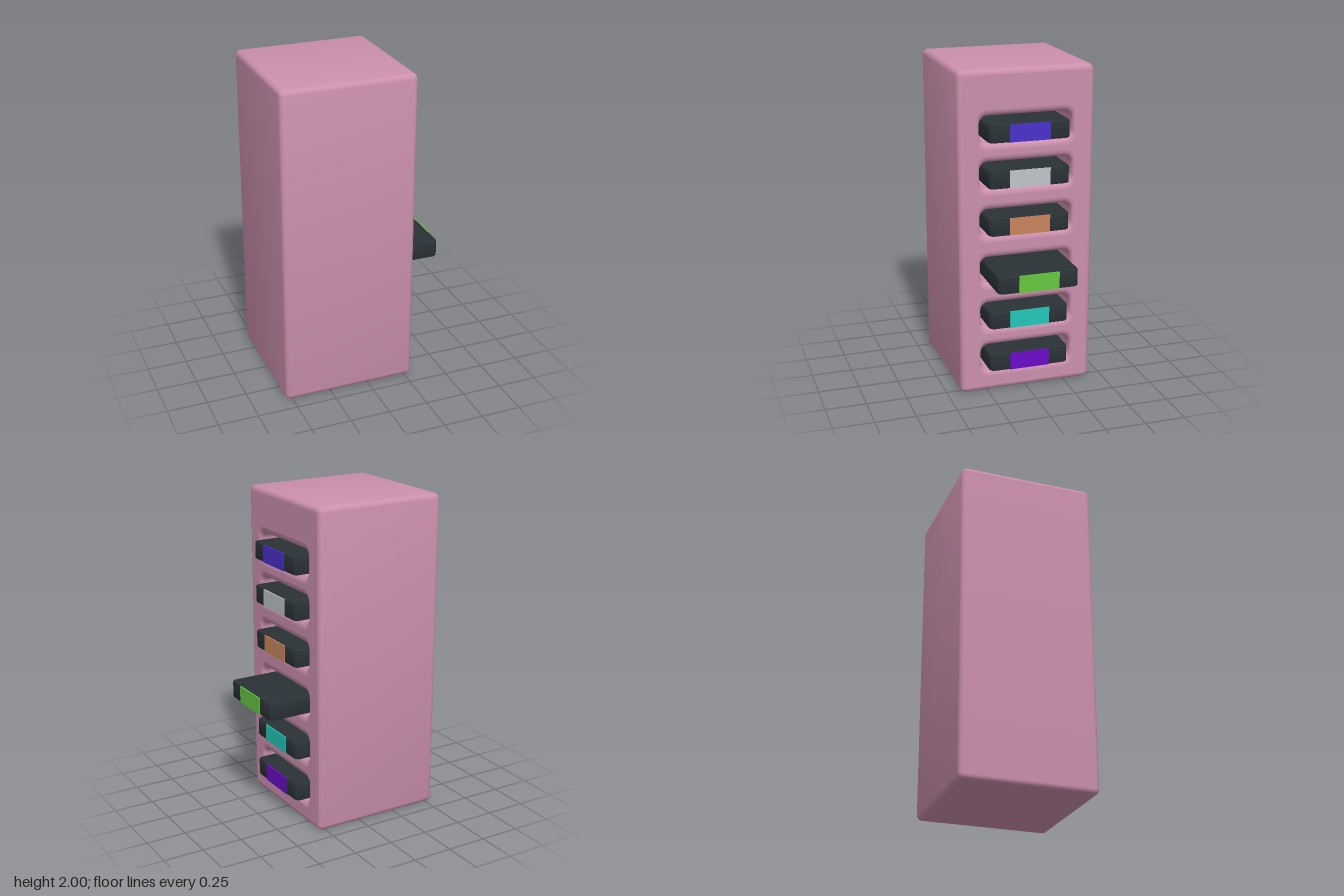
import * as THREE from 'three';
import { toCreasedNormals } from 'three/addons/utils/BufferGeometryUtils.js';

const X0 = -0.54, X1 = 0.295, BEVEL = 0.03;
// height of each slot, how far its cartridge reaches out, label colour
const SLOTS = [
  [1.635, 0.365, 0x4a30cc], [1.36, 0.365, 0xc0c4c8], [1.07, 0.365, 0xc9855c],
  [0.77, 0.54, 0x64c840], [0.48, 0.365, 0x22c8b8], [0.205, 0.365, 0x6a0ac8],
];
const mat = (color) => new THREE.MeshStandardMaterial({ color });

// counter-clockwise rounded rectangle
function roundRect(hw, hh, r, cx = 0, cy = 0, n = 5) {
  const pts = [];
  [[1, 1], [-1, 1], [-1, -1], [1, -1]].forEach(([sx, sy], k) => {
    for (let i = 0; i <= n; i++) {
      const a = (k + i / n) * Math.PI / 2;
      pts.push(new THREE.Vector2(
        cx + sx * (hw - r) + r * Math.cos(a), cy + sy * (hh - r) + r * Math.sin(a)));
    }
  });
  return pts;
}

function mesh(name, geometry, material) {
  const m = new THREE.Mesh(geometry, material);
  m.name = name;
  return m;
}

const slotRing = (t, y) => roundRect(0.285 + 0.02 * t, 0.08 + 0.04 * t, 0.05 + 0.01 * t, 0, y + 0.012);

// outer case with rounded edges, its +x cap left open
function caseGeometry(outline) {
  const g = new THREE.ExtrudeGeometry(new THREE.Shape(outline), {
    depth: X1 - X0 - 2 * BEVEL, bevelThickness: BEVEL, bevelSize: BEVEL, bevelSegments: 4,
  });
  g.translate(0, 0, X0 + BEVEL);
  const p = g.attributes.position, kept = [];
  for (let i = 0; i < p.count; i += 3) {
    if ([0, 1, 2].every((k) => p.getZ(i + k) > X1 - 1e-4)) continue;
    for (let k = 0; k < 3; k++) kept.push(p.getX(i + k), p.getY(i + k), p.getZ(i + k));
  }
  const open = new THREE.BufferGeometry();
  open.setAttribute('position', new THREE.Float32BufferAttribute(kept, 3));
  return toCreasedNormals(open, 0.7).rotateY(Math.PI / 2);
}

// recess: filleted mouth, straight walls and a closed back
function pocketGeometry(y) {
  const rings = [], pos = [], steps = 5;
  const add = (pts, depth) => rings.push(pts.map((p) => [p.x, p.y, X1 - depth]));
  for (let i = 0; i <= steps; i++) {
    const a = i / steps * Math.PI / 2;
    add(slotRing(1 - Math.sin(a), y), 0.035 * (1 - Math.cos(a)));
  }
  add(slotRing(0, y), 0.5);
  add(slotRing(0, y).map(() => new THREE.Vector2(0, y)), 0.5);
  for (let i = 0; i < rings.length - 1; i++) {
    const f = rings[i], d = rings[i + 1], n = f.length;
    for (let j = 0; j < n; j++) {
      const k = (j + 1) % n;
      pos.push(...f[j], ...f[k], ...d[j]);
      if (i < rings.length - 2) pos.push(...f[k], ...d[k], ...d[j]);
    }
  }
  const g = new THREE.BufferGeometry();
  g.setAttribute('position', new THREE.Float32BufferAttribute(pos, 3));
  return toCreasedNormals(g, 0.7).rotateY(Math.PI / 2);
}

// flat cartridge with rounded corners and a label on its end
function cartridge(y, reach, color, dark) {
  const group = new THREE.Group();
  group.name = 'cartridge';
  const len = 0.5, h = 0.108, b = 0.008;
  const g = new THREE.ExtrudeGeometry(
    new THREE.Shape(roundRect(len / 2 - b, 0.25 - b, 0.025, 0, 0, 3)),
    { depth: h - 2 * b, bevelThickness: b, bevelSize: b, bevelSegments: 2 });
  g.translate(0, 0, b - h / 2).rotateX(-Math.PI / 2);
  const shell = mesh('cartridgeShell', toCreasedNormals(g, 0.5), dark);
  shell.position.x = reach - 0.004 - len / 2;
  const label = mesh('cartridgeLabel', new THREE.BoxGeometry(0.012, h - 0.003, 0.25), mat(color));
  label.position.x = reach - 0.006;
  group.add(shell, label);
  group.position.y = y;
  return group;
}

export function createModel() {
  const model = new THREE.Group();
  model.name = 'cartridgeRack';
  const pink = mat(0xcc90ae), dark = mat(0x2a3236);

  const outline = roundRect(0.418 - BEVEL, 1 - BEVEL, 0.006, 0, 1, 3);
  model.add(mesh('case', caseGeometry(outline), pink));

  // slotted face
  const face = new THREE.Shape(outline);
  SLOTS.forEach(([y]) => face.holes.push(new THREE.Path(slotRing(1, y))));
  model.add(mesh('slottedFace',
    new THREE.ShapeGeometry(face).translate(0, 0, X1).rotateY(Math.PI / 2), pink));

  for (const [y, reach, color] of SLOTS) {
    model.add(mesh('slot', pocketGeometry(y), pink), cartridge(y, reach, color, dark));
  }
  return model;
}
